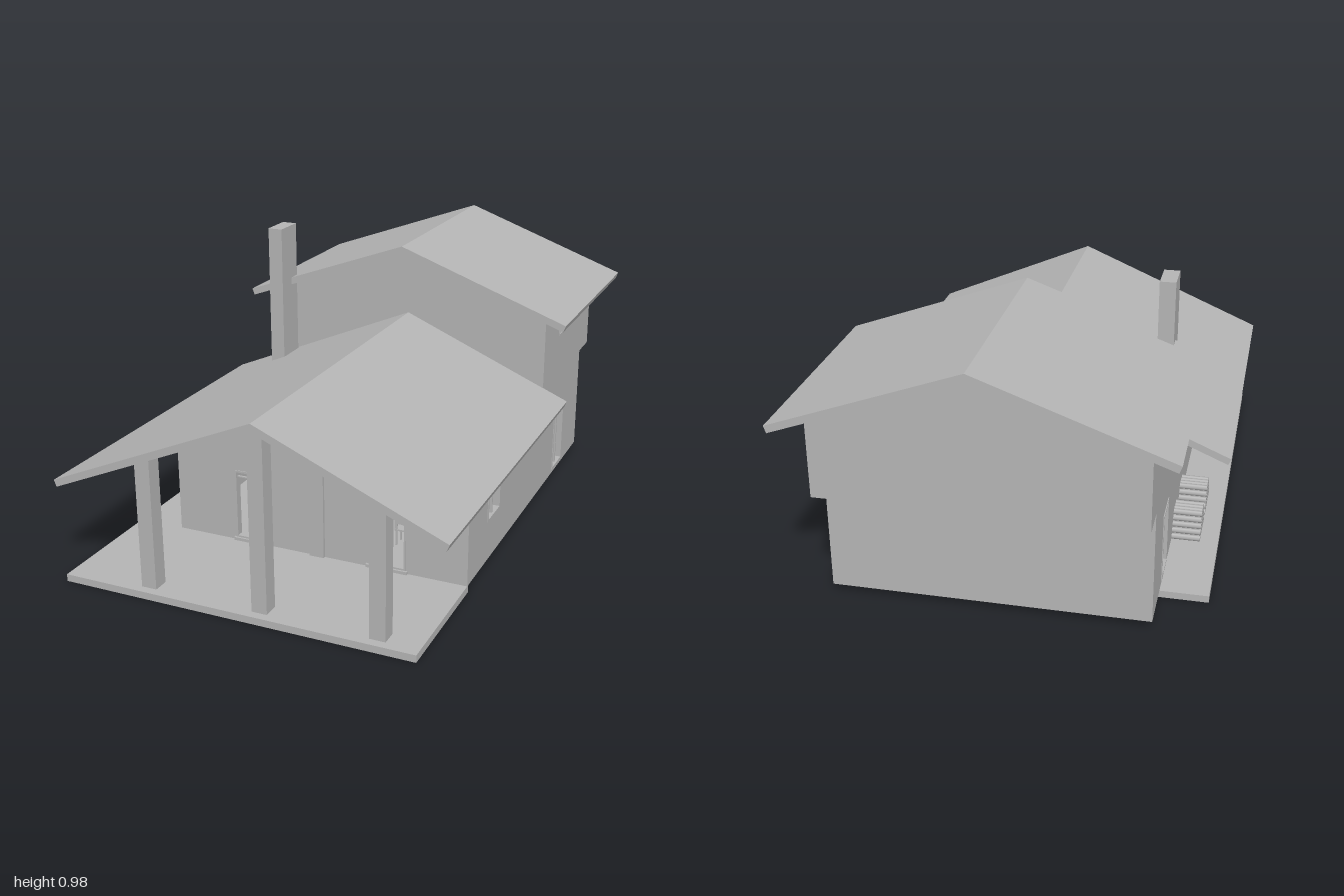
import * as THREE from 'three';

const X0 = -0.49, X1 = 0.585, CX = 0.0475, T = 0.02;

export function createModel() {
  const house = new THREE.Group();
  house.name = 'house';
  const grey = new THREE.MeshStandardMaterial({ color: 0xb4b4b4 });
  grey.name = 'plain grey';

  const add = (name, geo, parent = house) => {
    const m = new THREE.Mesh(geo, grey);
    m.name = name;
    parent.add(m);
    return m;
  };
  // Box given by its minimum and maximum corners
  const box = (name, x0, x1, y0, y1, z0, z1, parent) =>
    add(name, new THREE.BoxGeometry(x1 - x0, y1 - y0, z1 - z0)
      .translate((x0 + x1) / 2, (y0 + y1) / 2, (z0 + z1) / 2), parent);

  // Flat plate from an outline, with rectangular holes [u0, u1, v0, v1]
  const plate = (points, depth, holes = []) => {
    const s = new THREE.Shape(points.map(p => new THREE.Vector2(...p)));
    for (const [a, b, c, d] of holes) {
      s.holes.push(new THREE.Path([[a, c], [a, d], [b, d], [b, c]].map(p => new THREE.Vector2(...p))));
    }
    return new THREE.ExtrudeGeometry(s, { depth, bevelEnabled: false });
  };
  const gable = (bottom, eave, peak) => [[X0, bottom], [X1, bottom], [X1, eave], [CX, peak], [X0, eave]];

  // Porch slab wrapping the front and the left-hand side in the front view
  add('porchSlab', plate([[-0.655, -1], [X1, -1], [X1, -0.54], [-0.48, -0.54], [-0.48, 0.61], [-0.655, 0.61]], 0.025)
    .rotateX(-Math.PI / 2));
  box('groundFloor', X0 + T, X1 - T, 0.025, 0.032, -0.77, 0.53);
  box('upperFloor', X0 + T, X1 - T, 0.425, 0.44, -0.89, -0.26);

  // Side walls: z runs along the outline, openings shared by both sides
  const sideOpenings = [[0.23, 0.36, 0.17, 0.29], [-0.57, -0.44, 0.04, 0.285], [-0.575, -0.45, 0.585, 0.7]];
  const sideOutline = [[0.55, 0.025], [0.55, 0.42], [-0.26, 0.42], [-0.26, 0.72],
    [-0.91, 0.72], [-0.91, 0.425], [-0.79, 0.425], [-0.79, 0.025]];
  for (const [name, x] of [['leftWall', X1], ['rightWall', X0 + T]]) {
    add(name, plate(sideOutline, T, sideOpenings).rotateY(-Math.PI / 2).translate(x, 0, 0));
  }

  // Gable walls
  const doors = [[-0.265, -0.13, 0.035, 0.288], [0.235, 0.37, 0.035, 0.288]];
  add('frontWall', plate(gable(0.025, 0.42, 0.648), T, doors).translate(0, 0, 0.53));
  add('upperFrontWall', plate(gable(0.425, 0.72, 0.918), T).translate(0, 0, -0.28));
  add('upperBackWall', plate(gable(0.425, 0.72, 0.918), T).translate(0, 0, -0.91));
  box('lowerBackWall', X0, X1, 0.025, 0.43, -0.79, -0.77);
  box('partition', -0.01, 0.01, 0.03, 0.425, -0.77, -0.26);

  // Thin battens on the front gable
  box('gableRail', -0.42, 0.51, 0.436, 0.44, 0.55, 0.553);
  box('gableBatten', -0.002, 0.002, 0.44, 0.63, 0.55, 0.553);
  box('gableBatten', 0.198, 0.202, 0.44, 0.572, 0.55, 0.553);

  // Frame in the local xy plane, centred on z, with a middle bar and optional rail
  const frame = (name, w, h, rail, middle = true) => {
    const g = new THREE.Group(), b = 0.007, d = 0.013;
    g.name = name;
    for (const x of [0, w - b]) box('jamb', x, x + b, 0, h, -d, d, g);
    for (const y of [0, h - b]) box('crossbar', b, w - b, y, y + b, -d, d, g);
    if (middle) box('mullion', w / 2 - b / 2, w / 2 + b / 2, b, h - b, -0.005, 0.005, g);
    if (rail) box('rail', b, w - b, rail, rail + 0.004, -0.004, 0.004, g);
    house.add(g);
    return g;
  };
  doors.forEach(([a, b, c, d], i) => {
    frame('frontDoorFrame', b - a, d - c, i ? 0 : 0.225, !i).position.set(a, c, 0.54);
    box('doorstep', a - 0.006, b + 0.006, 0.025, 0.036, 0.53, 0.56);
  });
  for (const x of [X0 + T / 2, X1 - T / 2]) {
    sideOpenings.forEach(([a, b, c, d], i) => {
      const f = frame(i === 1 ? 'sideDoorFrame' : 'windowFrame', b - a, d - c, i === 1 ? 0.21 : 0);
      f.rotation.y = -Math.PI / 2;
      f.position.set(x, c, a);
    });
  }

  // Roofs: chevrons with square-cut eaves
  const roof = (name, peak, slope, left, right, zBack, zFront) => {
    const t = 0.027, cut = 0.009;
    const top = x => peak - slope * Math.abs(x - CX);
    const l = left + cut, r = right - cut;
    add(name, plate([[left, top(left)], [l, top(l) - t], [CX, peak - t],
      [r, top(r) - t], [right, top(right)], [CX, peak]], zFront - zBack).translate(0, 0, zBack));
  };
  roof('lowerRoof', 0.667, 0.425, -0.682, 0.677, -0.262, 0.99);
  roof('upperRoof', 0.938, 0.363, -0.582, 0.677, -1, -0.187);

  // Porch posts, plus one against the front wall
  for (const [x, h] of [[-0.355, 0.475], [CX, 0.645], [0.4475, 0.475]]) {
    box('porchPost', x - 0.027, x + 0.027, 0.025, h, 0.915, 0.97);
  }
  box('wallPost', CX - 0.027, CX + 0.027, 0, 0.645, 0.505, 0.56);

  box('chimney', -0.465, -0.41, 0.03, 0.975, -0.235, -0.115);

  // Two stacked piles of logs on the side strip
  const logGeo = new THREE.CylinderGeometry(0.0105, 0.0105, 0.1, 6).rotateZ(Math.PI / 2);
  for (const z of [-0.2, -0.01]) {
    for (let row = 0; row < 5; row++) {
      const n = 8 - row;
      for (let i = 0; i < n; i++) {
        add('log', logGeo).position.set(-0.541, 0.036 + row * 0.019, z + (i - (n - 1) / 2) * 0.021);
      }
    }
  }

  // Furniture inside: chairs, table and cabinet
  const legs = (g, w, d, h, t) => {
    for (const x of [-w, w]) for (const z of [-d, d]) box('leg', x - t, x + t, 0, h, z - t, z + t, g);
  };
  for (const z of [0.36, 0.1]) {
    const chair = new THREE.Group();
    chair.name = 'chair';
    legs(chair, 0.021, 0.021, 0.055, 0.003);
    box('seat', -0.025, 0.025, 0.055, 0.061, -0.025, 0.025, chair);
    for (const x of [-0.021, 0.021]) box('backPost', x - 0.003, x + 0.003, 0.06, 0.125, 0.018, 0.024, chair);
    for (const y of [0.08, 0.108]) box('backSlat', -0.02, 0.02, y, y + 0.014, 0.019, 0.023, chair);
    chair.position.set(0.288, 0.032, z);
    if (z < 0.2) chair.rotation.y = Math.PI;
    house.add(chair);
  }
  const table = new THREE.Group();
  table.name = 'table';
  legs(table, 0.075, 0.05, 0.1, 0.005);
  box('tableTop', -0.085, 0.085, 0.1, 0.108, -0.06, 0.06, table);
  table.position.set(0.3, 0.032, 0.23);
  house.add(table);
  box('cabinet', -0.175, -0.1, 0.032, 0.145, 0.1, 0.2);

  return house;
}
